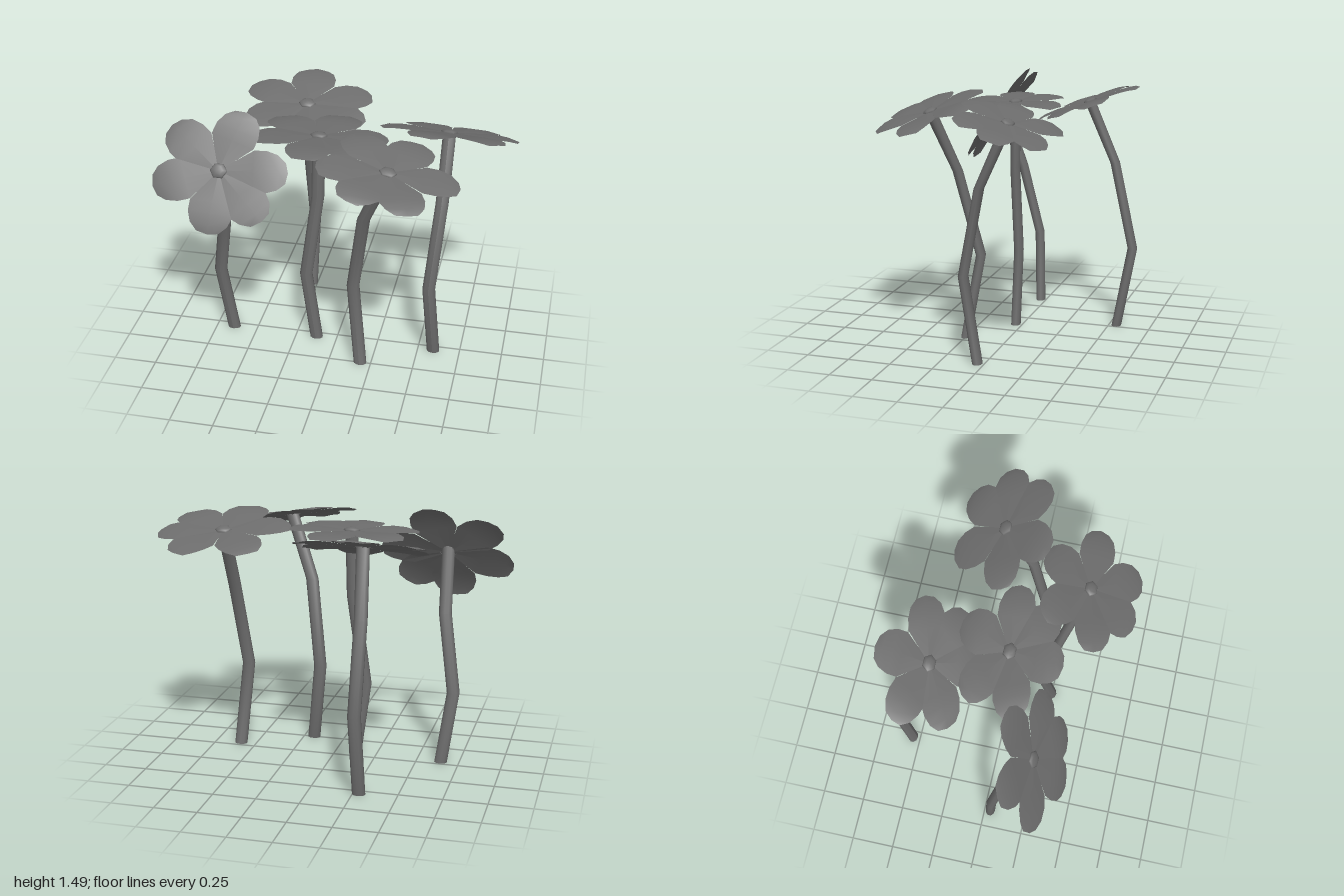
import * as THREE from 'three';

const DEPTH = 0.76; // flowers are narrower front to back than side to side
const STEM_RADIUS = 0.038;
const PETAL_ANGLES = [0, 68, 135, 195, 262, 310];

// Petal cross-sections: middle distance, edge distance, half width, middle height, edge height
const PETAL_ROWS = [
  [0, 0, 0.004, 0, 0],
  [0.2, 0.2, 0.13, 0.012, 0.005],
  [0.27, 0.27, 0.13, 0.013, 0.006],
  [0.345, 0.335, 0.108, 0.008, 0.002],
  [0.394, 0.38, 0.065, -0.004, -0.008],
];

// Each flower: stem points (x, y, z), direction the head faces, spin in degrees
const FLOWERS = [
  { stem: [[-0.285, 0, -0.545], [-0.278, 0.49, -0.635], [-0.285, 1.0, -0.52], [-0.26, 1.36, -0.37]], face: [0, 1, 0.26], spin: 22 },
  { stem: [[0.593, 0, 0.04], [0.563, 0.49, 0.13], [0.605, 1.0, 0.02], [0.61, 1.365, -0.145]], face: [0.05, 1, -0.25], spin: 56 },
  { stem: [[-0.123, 0, 0.04], [-0.183, 0.45, 0.04], [-0.108, 0.98, 0.04], [-0.1, 1.362, 0.035]], face: [0, 1, 0], spin: 4 },
  { stem: [[0.187, 0, 0.25], [0.127, 0.49, 0.175], [0.205, 1.0, 0.285], [0.353, 1.36, 0.39]], face: [0.17, 1, 0.2], spin: -66 },
  { stem: [[-0.643, 0, 0.035], [-0.703, 0.43, 0.06], [-0.63, 0.88, 0.15], [-0.618, 1.21, 0.28]], face: [0, 0.65, 0.76], spin: 4 },
];

const material = new THREE.MeshStandardMaterial({ color: 0x6c6c6c, side: THREE.DoubleSide });

function petalGeometry() {
  const geometry = new THREE.PlaneGeometry(2, 1, 2, PETAL_ROWS.length - 1);
  const pos = geometry.attributes.position;
  for (let i = 0; i < pos.count; i++) {
    const row = PETAL_ROWS[PETAL_ROWS.length - 1 - Math.floor(i / 3)];
    const side = (i % 3) - 1;
    pos.setXYZ(i, side ? row[1] : row[0], side ? row[4] : row[3], side * row[2]);
  }
  geometry.computeVertexNormals();
  return geometry;
}

// Bent cylinder whose rings follow the points; the last ring lies against the head
function stemGeometry(points, face) {
  const last = points.length - 1;
  const geometry = new THREE.CylinderGeometry(STEM_RADIUS, STEM_RADIUS, last, 10, last);
  const pos = geometry.attributes.position;
  for (let i = 0; i < pos.count; i++) {
    const k = Math.round(pos.getY(i) + last / 2);
    const dx = pos.getX(i), dz = pos.getZ(i), p = points[k];
    const dy = k === last ? -(face.x * dx + face.z * dz) / face.y : 0;
    pos.setXYZ(i, p.x + dx, p.y + dy, p.z + dz);
  }
  geometry.computeVertexNormals();
  return geometry;
}

function addMesh(parent, geometry, name) {
  const mesh = new THREE.Mesh(geometry, material);
  mesh.name = name;
  parent.add(mesh);
  return mesh;
}

export function createModel() {
  const model = new THREE.Group();
  model.name = 'flowers';

  const petal = petalGeometry();
  const dome = new THREE.SphereGeometry(0.052, 6, 3, 0, Math.PI * 2, 0, Math.PI / 2);
  const up = new THREE.Vector3(0, 1, 0);

  for (const { stem, face, spin } of FLOWERS) {
    const flower = new THREE.Group();
    flower.name = 'flower';
    flower.scale.z = DEPTH;
    model.add(flower);

    const points = stem.map(([x, y, z]) => new THREE.Vector3(x, y, z / DEPTH));
    const normal = new THREE.Vector3(...face).normalize();
    addMesh(flower, stemGeometry(points, normal), 'stem');

    // Head: six uneven petals around a low dome
    const head = new THREE.Group();
    head.name = 'flowerHead';
    head.position.copy(points[points.length - 1]);
    head.quaternion.setFromUnitVectors(up, normal);
    flower.add(head);

    for (const angle of PETAL_ANGLES) {
      addMesh(head, petal, 'petal').rotation.y = THREE.MathUtils.degToRad(angle + spin);
    }
    addMesh(head, dome, 'flowerCentre').scale.y = 0.4;
  }
  return model;
}
